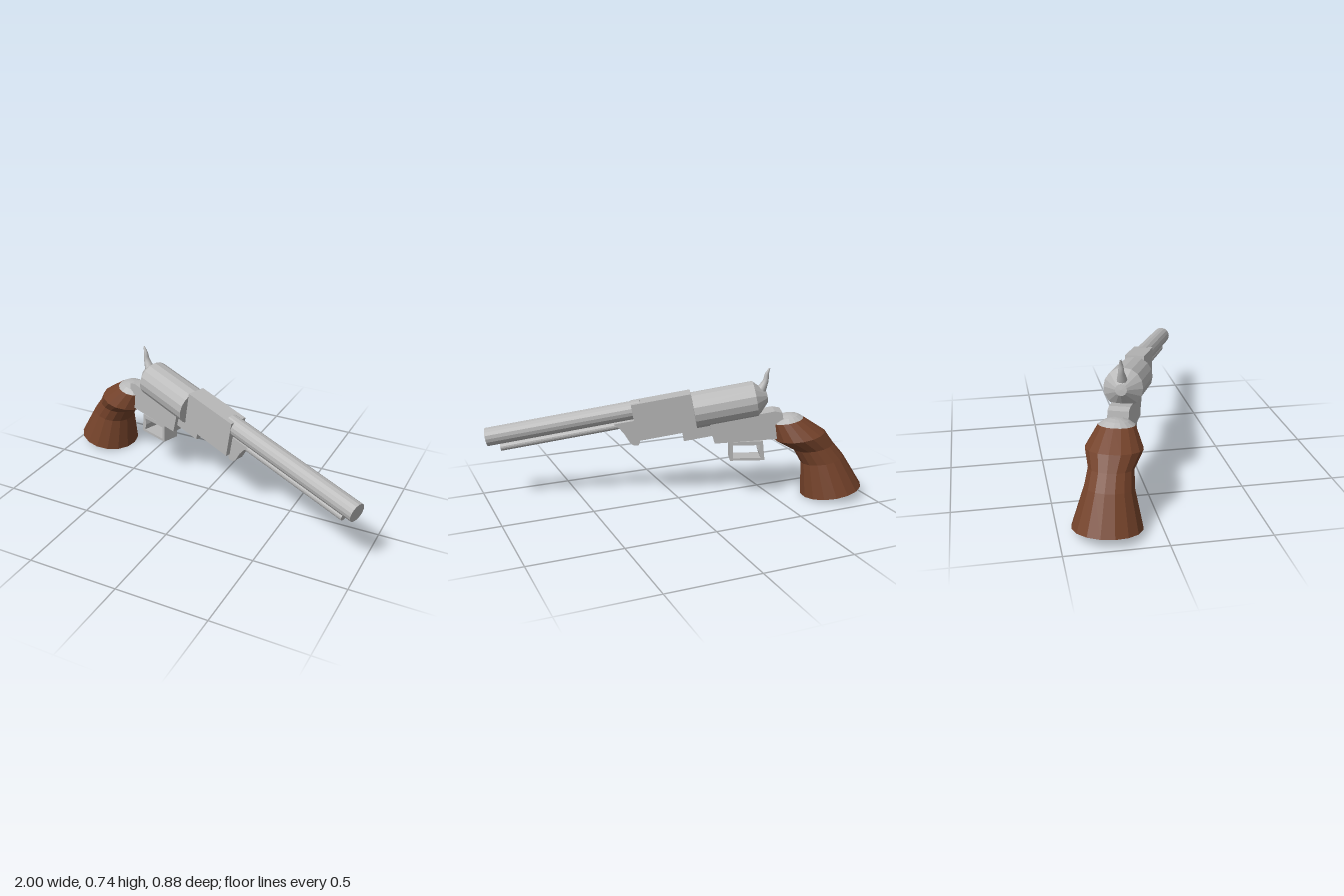
import * as THREE from 'three';

const metal = new THREE.MeshStandardMaterial({ color: 0xb8b8b8 });
metal.name = 'grey metal';
const wood = new THREE.MeshStandardMaterial({ color: 0x74422a });
wood.name = 'brown wood';

// Faceted copy of a geometry
function facet(geo) {
  const g = geo.index ? geo.toNonIndexed() : geo;
  g.computeVertexNormals();
  return g;
}

function part(parent, name, geo, material) {
  const m = new THREE.Mesh(geo, material);
  m.name = name;
  parent.add(m);
  return m;
}

// Turned part lying along the barrel; profile entries are [radius, position]
function turned(profile, height, sides = 16) {
  const g = new THREE.LatheGeometry(profile.map(p => new THREE.Vector2(...p)), sides);
  g.rotateZ(-Math.PI / 2);
  g.translate(0, height, 0);
  return facet(g);
}

function rod(x0, x1, height, r) {
  return turned([[0, x0], [r, x0], [r, x1], [0, x1]], height);
}

// Side outline given a width, centred on the middle plane
function slab(outline, width, hole) {
  const s = new THREE.Shape(outline.map(p => new THREE.Vector2(...p)));
  if (hole) s.holes.push(new THREE.Path(hole.map(p => new THREE.Vector2(...p))));
  const g = new THREE.ExtrudeGeometry(s, { depth: width, bevelEnabled: false });
  g.translate(0, 0, -width / 2);
  return facet(g);
}

// Stack of level rings, each with its own centre: [centre x, y, radius]
function rings(rows, sides = 16) {
  const g = new THREE.LatheGeometry(rows.map(r => new THREE.Vector2(r[2], r[1])), sides);
  const p = g.attributes.position;
  for (let i = 0; i < p.count; i++) p.setX(i, p.getX(i) + rows[i % rows.length][0]);
  return facet(g);
}

// Round bar along a curve, with radii blended from base to tip
function taperedBar(points, radii) {
  const curve = new THREE.CatmullRomCurve3(points.map(p => new THREE.Vector3(p[0], p[1], 0)));
  const steps = 12, sides = 10;
  const g = new THREE.TubeGeometry(curve, steps, 1, sides, false);
  const p = g.attributes.position, v = new THREE.Vector3();
  for (let i = 0; i < p.count; i++) {
    const t = Math.floor(i / (sides + 1)) / steps;
    const k = Math.min(Math.floor(t * (radii.length - 1)), radii.length - 2);
    const r = THREE.MathUtils.lerp(radii[k], radii[k + 1], t * (radii.length - 1) - k);
    const c = curve.getPointAt(t);
    v.fromBufferAttribute(p, i).sub(c).multiplyScalar(r).add(c);
    p.setXYZ(i, v.x, v.y, v.z);
  }
  g.computeVertexNormals();
  return g;
}

export function createModel() {
  const model = new THREE.Group();
  model.name = 'revolver';

  // Turned sideways, then tipped muzzle down
  const turn = new THREE.Group();
  turn.name = 'turnedBody';
  turn.position.z = 0.035;
  turn.rotation.y = -THREE.MathUtils.degToRad(20);
  model.add(turn);
  const body = new THREE.Group();
  body.name = 'tippedBody';
  body.rotation.z = -THREE.MathUtils.degToRad(10);
  turn.add(body);

  // Barrel, rod below it and the block that holds them
  part(body, 'barrel', rod(0.1, 0.961, 0.546, 0.051), metal);
  part(body, 'loadingRod', rod(0.17, 0.898, 0.474, 0.021), metal);
  part(body, 'barrelBlock', slab([[-0.183, 0.38], [0.148, 0.38], [0.148, 0.588], [-0.183, 0.588]], 0.104), metal);
  part(body, 'rodBracket', slab([
    [0.13, 0.49], [0.14, 0.362], [0.15, 0.347], [0.178, 0.352], [0.194, 0.37],
    [0.215, 0.425], [0.235, 0.46], [0.262, 0.491],
  ], 0.05), metal);

  // Drum with a tapered back
  part(body, 'drum', turned([[0, -0.597], [0.03, -0.595], [0.101, -0.528], [0.101, -0.184], [0, -0.184]], 0.481), metal);

  // Hammer
  part(body, 'hammer', taperedBar(
    [[-0.545, 0.5], [-0.575, 0.535], [-0.602, 0.575], [-0.611, 0.605], [-0.632, 0.638]],
    [0.034, 0.026, 0.017, 0.012, 0.004]), metal);

  // Frame and the step in front of it
  part(body, 'frame', slab([[-0.66, 0.24], [-0.265, 0.285], [-0.255, 0.405], [-0.62, 0.405], [-0.66, 0.39]], 0.106), metal);
  part(body, 'frameStep', slab([[-0.28, 0.325], [-0.1, 0.325], [-0.1, 0.4], [-0.28, 0.4]], 0.066), metal);

  // Trigger guard, level with the ground
  part(turn, 'triggerGuard', slab(
    [[-0.492, 0.223], [-0.299, 0.223], [-0.295, 0.33], [-0.48, 0.335]], 0.098,
    [[-0.47, 0.237], [-0.458, 0.275], [-0.464, 0.312], [-0.313, 0.312], [-0.316, 0.237]]), metal);

  // Flared grip and its domed cap
  part(body, 'grip', rings([
    [-0.874, -0.122, 0], [-0.874, -0.122, 0.173], [-0.849, 0.069, 0.121],
    [-0.81, 0.152, 0.112], [-0.742, 0.231, 0.143], [-0.685, 0.331, 0.092],
  ]), wood);
  part(body, 'gripCap', rings([
    [-0.685, 0.331, 0.092], [-0.688, 0.352, 0.062], [-0.69, 0.363, 0.03], [-0.69, 0.366, 0],
  ]), metal);

  return model;
}
